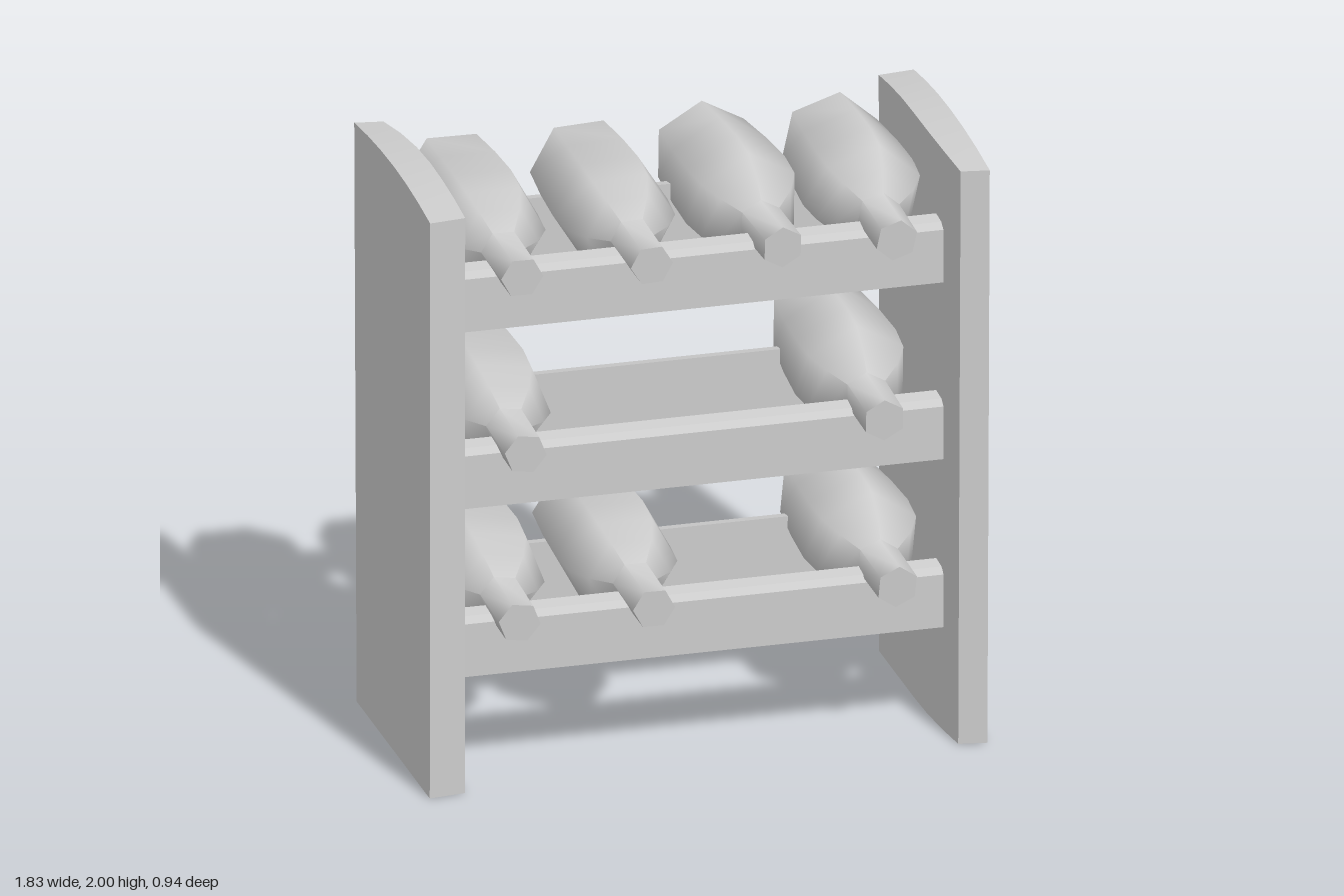
import * as THREE from 'three';
import { toCreasedNormals } from 'three/addons/utils/BufferGeometryUtils.js';

const material = new THREE.MeshStandardMaterial({ color: 0xcccccc });

function addMesh(parent, geometry, name) {
  const mesh = new THREE.Mesh(geometry, material);
  mesh.name = name;
  parent.add(mesh);
  return mesh;
}

// Upright board: arched top, slight taper to the floor, inner face bowed at the front
function panelGeometry() {
  const box = new THREE.BoxGeometry(1, 1, 2, 1, 1, 6);
  const p = box.attributes.position;
  for (let i = 0; i < p.count; i++) {
    const inner = p.getX(i) < 0;
    const top = p.getY(i) > 0;
    const t = p.getZ(i);
    const front = (top ? 0.468 : 0.44) - (inner ? 0.015 : 0);
    const back = (top ? 0.425 : 0.42) - (inner ? 0.015 : 0);
    const x = inner ? 0.797 + 0.028 * Math.max(0, t) ** 2 : 0.917;
    const y = top ? 2 - 0.03 * t * t : 0;
    p.setXYZ(i, x, y, t > 0 ? t * front : t * back);
  }
  return toCreasedNormals(box, 0.3);
}

// Cross rail with its top sloping down towards the outside
function railGeometry() {
  const s = new THREE.Shape([
    [0.235, 0.01], [0.305, 0], [0.305, 0.18], [0.285, 0.2], [0.235, 0.21],
  ].map(([z, y]) => new THREE.Vector2(-z, y)));
  const g = new THREE.ExtrudeGeometry(s, { depth: 1.62, bevelEnabled: false });
  return g.translate(0, 0, -0.81).rotateY(Math.PI / 2);
}

// Six-sided bottle lying along z, neck to the front
function bottleGeometry() {
  const profile = [
    [0, -0.375], [0.165, -0.375], [0.182, -0.2], [0.19, -0.04], [0.18, 0.08],
    [0.135, 0.155], [0.072, 0.205], [0.07, 0.42], [0, 0.42],
  ].map(([r, z]) => new THREE.Vector2(r, z));
  const g = new THREE.LatheGeometry(profile, 6).rotateX(Math.PI / 2);
  return toCreasedNormals(g, 1.12);
}

export function createModel() {
  const group = new THREE.Group();

  // Side panels
  const panel = panelGeometry();
  addMesh(group, panel, 'leftPanel');
  addMesh(group, panel, 'rightPanel').rotation.y = Math.PI;

  // Three tiers of front and back rails
  const tiers = [0.355, 0.93, 1.535];
  const rail = railGeometry();
  for (const y of tiers) {
    addMesh(group, rail, 'frontRail').position.y = y;
    const back = addMesh(group, rail, 'backRail');
    back.position.y = y;
    back.rotation.y = Math.PI;
  }

  // Bottles: tier, x, z shift, roll, yaw
  const bottles = [
    [2, -0.62, 0, 0.5, 0.02], [2, -0.195, 0.01, 0.56, 0.02],
    [2, 0.23, -0.025, 0, 0.06], [2, 0.62, 0.015, -0.2, 0],
    [1, -0.6, 0, 0.38, 0], [1, 0.575, 0.03, 0, 0],
    [0, -0.62, 0, 0.37, 0], [0, -0.185, 0, 0.5, 0.02], [0, 0.61, 0.03, -0.08, 0.02],
  ];
  const bottle = bottleGeometry();
  for (const [tier, x, z, roll, yaw] of bottles) {
    const mesh = addMesh(group, bottle, 'bottle');
    mesh.position.set(x, tiers[tier] + 0.235, z);
    mesh.rotation.set(0.05, yaw, roll);
  }

  return group;
}
